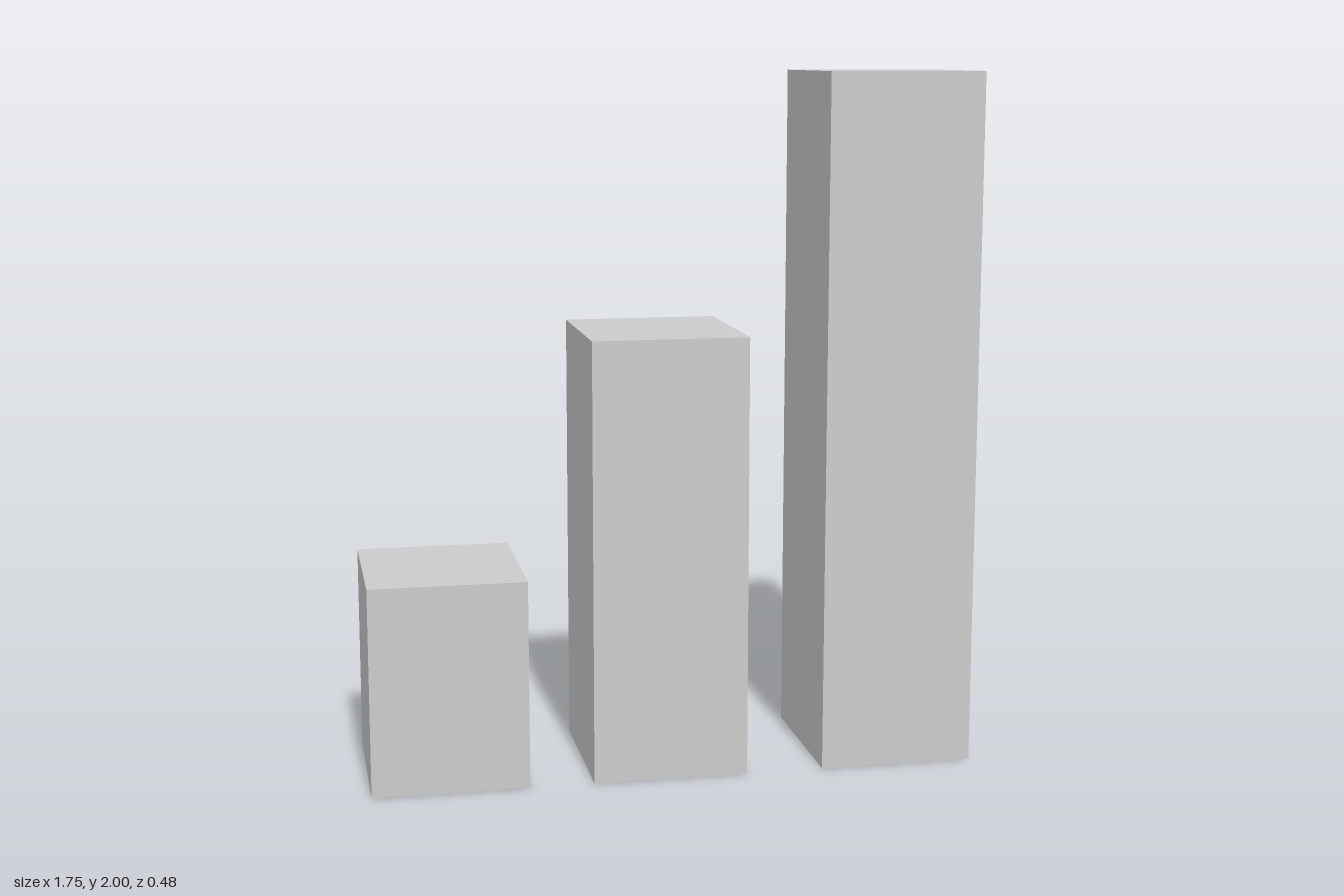
import * as THREE from 'three';

const BAR_WIDTH = 0.446;
const BAR_DEPTH = 0.482;

// Three separate square-edged bars rising from the model's right to its left
const BARS = [
  { name: 'shortBar', x: -0.65, height: 0.6 },
  { name: 'middleBar', x: -0.02, height: 1.27 },
  { name: 'tallBar', x: 0.65, height: 2 },
];

export function createModel() {
  const model = new THREE.Group();
  model.name = 'barChart';
  const material = new THREE.MeshStandardMaterial({ color: 0xcccccc });

  for (const { name, x, height } of BARS) {
    const bar = new THREE.Mesh(new THREE.BoxGeometry(BAR_WIDTH, height, BAR_DEPTH), material);
    bar.name = name;
    bar.position.set(x, height / 2, 0); // stands on the ground
    model.add(bar);
  }
  return model;
}
